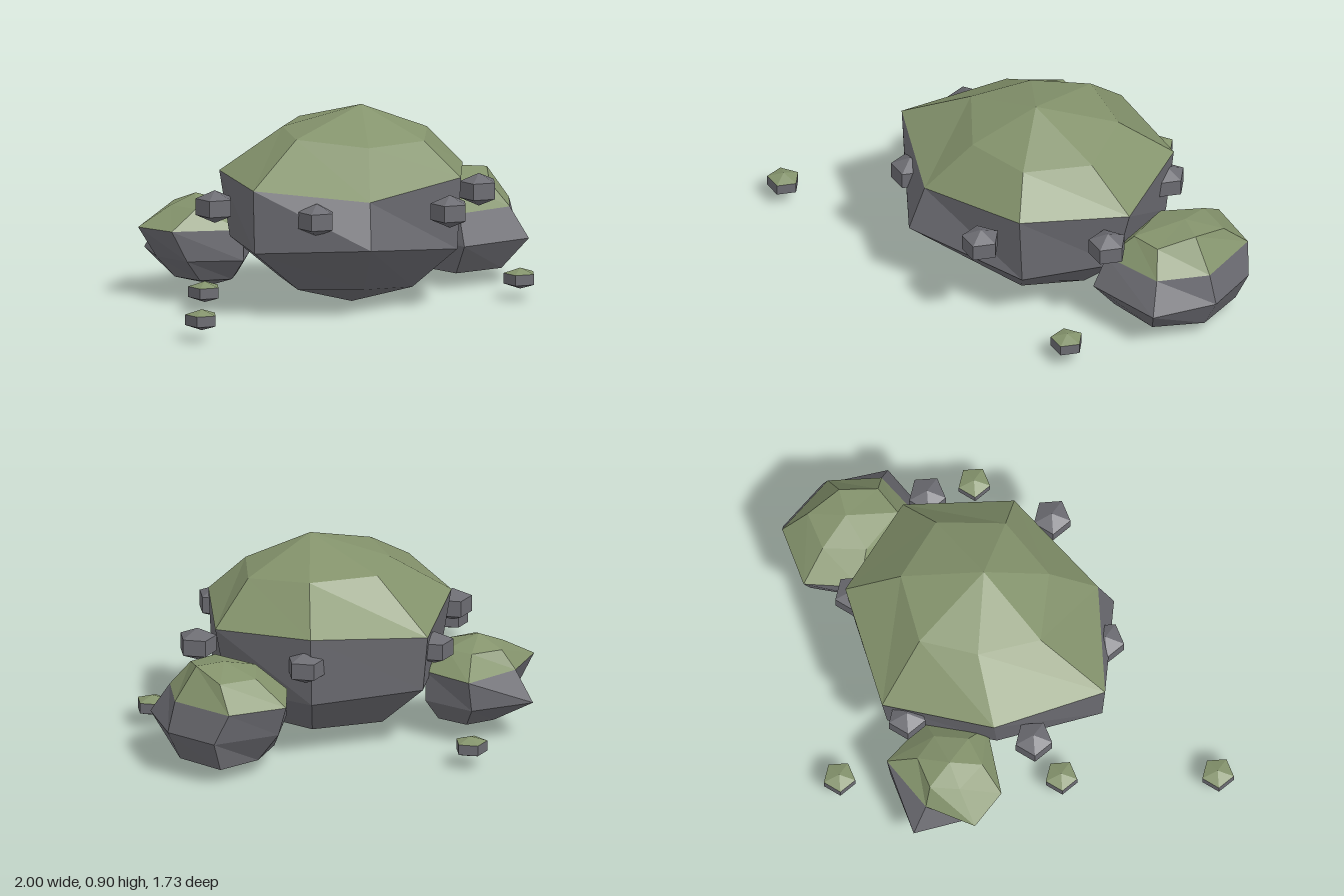
import * as THREE from 'three';

const stone = new THREE.MeshStandardMaterial({ color: 0x6c6c72, flatShading: true });
const moss = new THREE.MeshStandardMaterial({ color: 0x84936c, flatShading: true });

// Faceted surface from a list of cross-sections; a one-point section is a pole.
function skin(sections, material, name) {
  const pos = [];
  for (let s = 0; s < sections.length - 1; s++) {
    const a = sections[s], b = sections[s + 1];
    const n = Math.max(a.length, b.length);
    for (let i = 0; i < n; i++) {
      const j = (i + 1) % n;
      if (a.length > 1) pos.push(...a[i], ...a[j], ...b[i % b.length]);
      if (b.length > 1) pos.push(...a[j % a.length], ...b[j], ...b[i]);
    }
  }
  const geo = new THREE.BufferGeometry();
  geo.setAttribute('position', new THREE.Float32BufferAttribute(pos, 3));
  geo.computeVertexNormals();
  const mesh = new THREE.Mesh(geo, material);
  mesh.name = name;
  return mesh;
}

// Boulder: sections run top to bottom, the first `mossy` of them bound the moss cap.
function rock(name, sections, mossy) {
  const g = new THREE.Group();
  g.name = name;
  if (mossy) g.add(skin(sections.slice(0, mossy), moss, 'mossCap'));
  g.add(skin(sections.slice(mossy ? mossy - 1 : 0), stone, 'stoneBody'));
  return g;
}

// Ring at one height from x, z pairs
const level = (y, pts) => pts.map(([x, z]) => [x, y, z]);

// Five-sided pebble
function pebble(name, [x, y, z], r, h, mossy) {
  const ring = dy => Array.from({ length: 5 }, (_, i) => {
    const a = i * Math.PI * 2 / 5;
    return [x + r * Math.sin(a), y + dy, z - r * Math.cos(a)];
  });
  return rock(name, [[[x, y + h, z]], ring(h / 2), ring(-h / 2), [[x, y - h, z]]], mossy);
}

export function createModel() {
  const model = new THREE.Group();
  model.name = 'mossyRocks';

  // Large central boulder, seven sides
  model.add(rock('mainBoulder', [
    [[0.10, 0.90, 0.09]],
    [[-0.06, 0.79, -0.29], [0.26, 0.79, -0.25], [0.45, 0.76, 0.0], [0.33, 0.75, 0.29],
      [0.03, 0.75, 0.38], [-0.26, 0.78, 0.22], [-0.22, 0.79, -0.07]],
    [[-0.20, 0.55, -0.53], [0.36, 0.605, -0.48], [0.65, 0.57, -0.08], [0.47, 0.59, 0.39],
      [-0.04, 0.54, 0.59], [-0.54, 0.595, 0.42], [-0.51, 0.60, -0.11]],
    [[-0.19, 0.29, -0.50], [0.34, 0.28, -0.45], [0.58, 0.27, -0.05], [0.46, 0.26, 0.37],
      [-0.06, 0.33, 0.66], [-0.53, 0.305, 0.41], [-0.47, 0.30, -0.08]],
    [[-0.08, 0.09, -0.30], [0.25, 0.09, -0.26], [0.40, 0.09, 0.01], [0.28, 0.08, 0.27],
      [0.01, 0.10, 0.37], [-0.27, 0.10, 0.27], [-0.25, 0.11, -0.03]],
    [[0.05, 0.0, 0.10]],
  ], 3));

  // Medium boulder at the left
  model.add(rock('leftBoulder', [
    [[0.72, 0.51, -0.33]],
    [[0.63, 0.46, -0.48], [0.81, 0.46, -0.48], [0.85, 0.50, -0.31], [0.80, 0.46, -0.14],
      [0.66, 0.46, -0.10], [0.55, 0.46, -0.30]],
    level(0.35, [[0.54, -0.61], [0.82, -0.60], [0.96, -0.32], [0.88, -0.09], [0.60, 0.01], [0.43, -0.38]]),
    level(0.21, [[0.56, -0.57], [0.88, -0.57], [1.0, -0.33], [0.95, -0.03], [0.60, 0.08], [0.42, -0.35]]),
    level(0.07, [[0.62, -0.48], [0.83, -0.53], [0.93, -0.31], [0.84, -0.09], [0.60, -0.03], [0.47, -0.33]]),
    [[0.70, 0.035, -0.30]],
  ], 3));

  // Smaller boulder at the right
  model.add(rock('rightBoulder', [
    [[-0.54, 0.46, -0.34]],
    level(0.41, [[-0.60, -0.46], [-0.45, -0.46], [-0.38, -0.35], [-0.45, -0.21], [-0.59, -0.20], [-0.66, -0.34]]),
    level(0.32, [[-0.65, -0.50], [-0.38, -0.58], [-0.27, -0.35], [-0.40, -0.10], [-0.72, -0.16], [-0.82, -0.33]]),
    level(0.18, [[-0.70, -0.58], [-0.40, -0.57], [-0.27, -0.35], [-0.40, -0.09], [-0.65, -0.15], [-0.73, -0.34]]),
    level(0.08, [[-0.56, -0.46], [-0.42, -0.47], [-0.34, -0.34], [-0.42, -0.19], [-0.57, -0.20], [-0.64, -0.34]]),
    [[-0.46, 0.035, -0.33]],
  ], 3));

  // Bare stones set around the main boulder
  for (const [x, z] of [[-0.59, 0.05], [0.68, 0.05], [-0.275, 0.53], [0.365, 0.53], [-0.275, -0.44], [0.365, -0.44]])
    model.add(pebble('studStone', [x, 0.465, z], 0.087, 0.075, 0));

  // Moss-topped pebbles scattered on the ground
  for (const [x, z] of [[-0.30, -0.78], [-0.93, 0.81], [0.78, 0.32], [-0.675, 0.15]])
    model.add(pebble('groundPebble', [x, 0.097, z], 0.075, 0.048, 2));

  return model;
}
